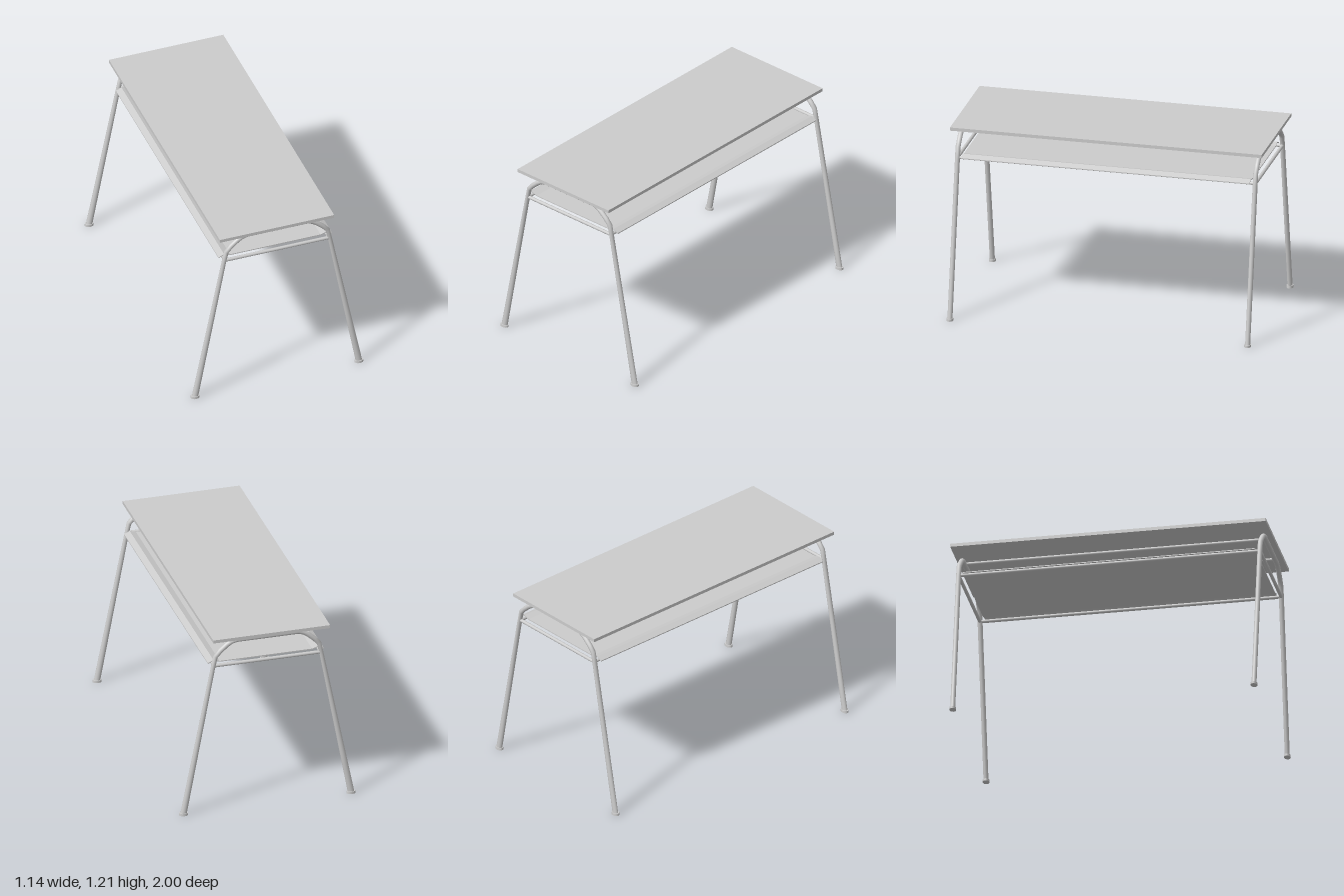
import * as THREE from 'three';

const material = new THREE.MeshStandardMaterial({ color: 0xcccccc, side: THREE.DoubleSide });
const FRAME_Z = 0.955;

function add(parent, name, geometry, x = 0, y = 0, z = 0) {
  const mesh = new THREE.Mesh(geometry, material);
  mesh.name = name;
  mesh.position.set(x, y, z);
  parent.add(mesh);
  return mesh;
}

// Straight round bar along the x or z axis
function addBar(parent, name, axis, length, radius, x, y, z) {
  const geometry = new THREE.CylinderGeometry(radius, radius, length, 12);
  if (axis === 'x') geometry.rotateZ(Math.PI / 2);
  else geometry.rotateX(Math.PI / 2);
  return add(parent, name, geometry, x, y, z);
}

// Sweep an oval section along a path in the xy plane; points are [x, y, half width]
function sweep(points, depth, sides = 12) {
  const positions = [];
  const index = [];
  points.forEach(([x, y, w], i) => {
    const a = points[Math.max(i - 1, 0)];
    const b = points[Math.min(i + 1, points.length - 1)];
    const dirs = [[a, points[i]], [points[i], b]]
      .map(([p, q]) => new THREE.Vector2(q[0] - p[0], q[1] - p[1]).normalize());
    const t = dirs[0].add(dirs[1]).normalize();
    for (let j = 0; j < sides; j++) {
      const angle = (j / sides) * Math.PI * 2;
      const c = Math.cos(angle) * w;
      positions.push(x - t.y * c, y + t.x * c, Math.sin(angle) * depth);
      if (i < points.length - 1) {
        const k = (j + 1) % sides;
        const p = i * sides;
        const q = p + sides;
        index.push(p + j, p + k, q + j, p + k, q + k, q + j);
      }
    }
  });
  const geometry = new THREE.BufferGeometry();
  geometry.setAttribute('position', new THREE.Float32BufferAttribute(positions, 3));
  geometry.setIndex(index);
  geometry.computeVertexNormals();
  return geometry;
}

export function createModel() {
  const desk = new THREE.Group();
  desk.name = 'desk';

  // Table top, set slightly towards one side
  add(desk, 'tableTop', new THREE.BoxGeometry(0.758, 0.021, 2), -0.016, 1.2015, 0);

  // Bent end frames: splayed legs joined by a rounded top
  const half = [
    [0.544, 0.005, 0.021],
    [0.352, 1.0, 0.0135],
    [0.336, 1.075, 0.015],
    [0.303, 1.112, 0.016],
    [0.262, 1.147, 0.016],
    [0.232, 1.166, 0.016],
    [0.2, 1.175, 0.016],
  ];
  const path = [...half.map(([x, y, w]) => [-x, y, w]), ...half.slice().reverse()];
  for (const side of [1, -1]) {
    const frame = new THREE.Group();
    frame.name = side > 0 ? 'frontFrame' : 'backFrame';
    frame.position.z = side * FRAME_Z;
    desk.add(frame);
    add(frame, 'bentLegs', sweep(path, 0.016));
    addBar(frame, 'crossbar', 'x', 0.7, 0.011, 0, 1.012, 0);
    for (const x of [-0.543, 0.543]) {
      const foot = new THREE.CylinderGeometry(0.028, 0.029, 0.015, 16);
      foot.scale(1, 1, 0.74);
      add(frame, 'foot', foot, x, 0.0075, 0);
    }
  }

  // Long rails joining the end frames, under the top and beside the shelf
  for (const x of [-0.15, 0.15]) {
    addBar(desk, 'topRail', 'z', 2 * FRAME_Z, 0.01, x, 1.18, 0);
  }
  for (const x of [-0.345, 0.345]) {
    addBar(desk, 'shelfRail', 'z', 2 * FRAME_Z - 0.02, 0.01, x, 1.012, 0);
  }

  // Thin shelf whose edges fold up and over the rails
  const rise = [[0.376, 1.014], [0.34, 1.031], [0.3, 1.019]];
  const profile = [...rise.map(([x, y]) => [-x, y]), ...rise.slice().reverse()];
  const outline = [
    ...profile,
    ...profile.slice().reverse().map(([x, y]) => [x, y + 0.006]),
  ].map(([x, y]) => new THREE.Vector2(x, y));
  const shelf = new THREE.ExtrudeGeometry(new THREE.Shape(outline), { depth: 1.85, bevelEnabled: false });
  add(desk, 'shelf', shelf, 0, 0, -0.925);

  return desk;
}
